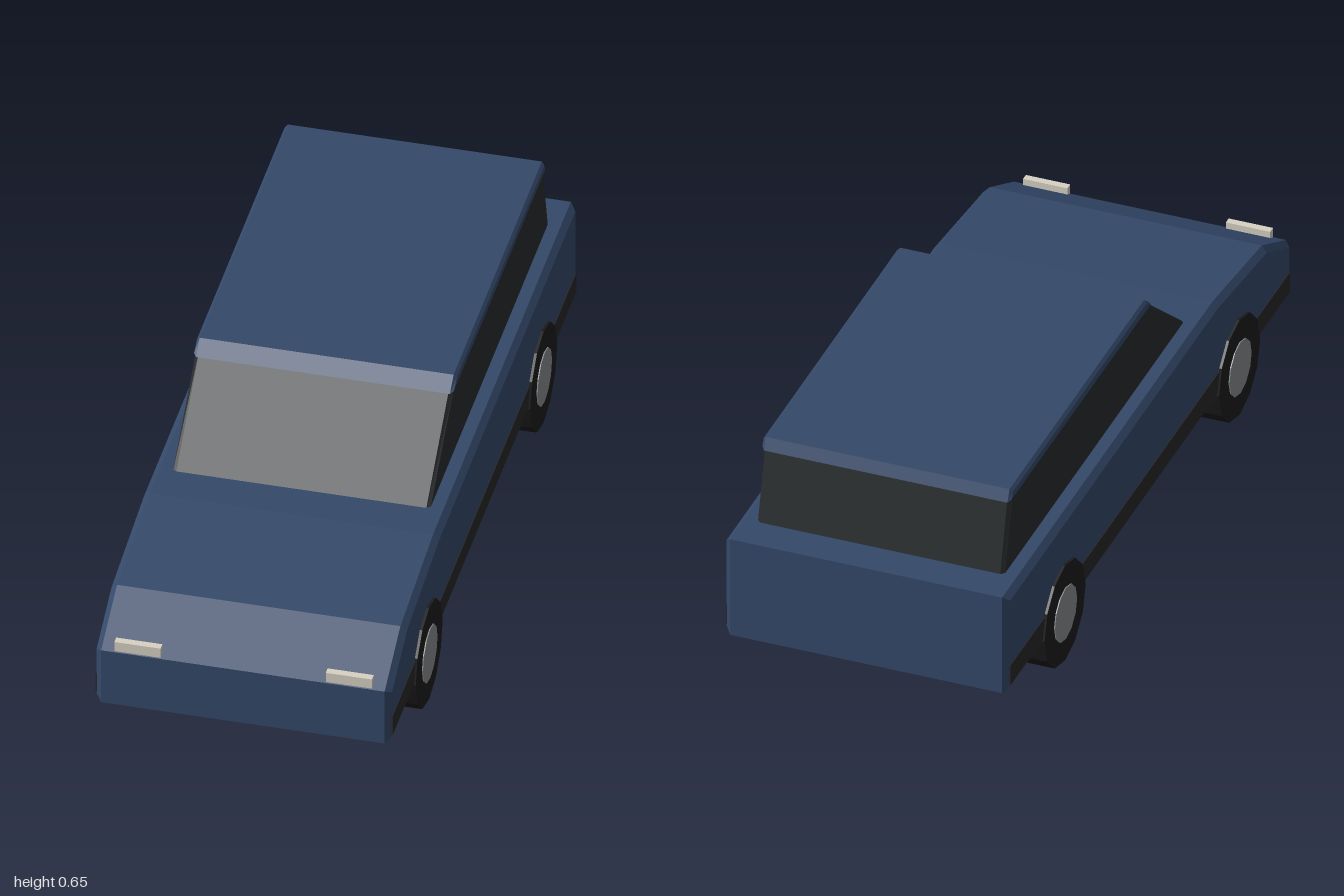
import * as THREE from 'three';

const material = (color) => new THREE.MeshStandardMaterial({ color, flatShading: true });
const paint = material(0x34496a);
const glass = material(0x282b2d);
const trim = material(0x2a2829);
const rubber = material(0x1c1c1c);
const metal = material(0x8a8d91);
const lamp = material(0xd8d2c4);

function addMesh(parent, name, geometry, mat, x = 0, y = 0, z = 0) {
  const mesh = new THREE.Mesh(geometry, mat);
  mesh.name = name;
  mesh.position.set(x, y, z);
  parent.add(mesh);
  return mesh;
}

// Side profile of [z, y] points, extruded across x with chamfered side edges
function sideExtrude(points, halfWidth, chamfer) {
  const shape = new THREE.Shape(points.map(([z, y]) => new THREE.Vector2(z, y)));
  const depth = 2 * (halfWidth - chamfer);
  const geometry = new THREE.ExtrudeGeometry(shape, {
    depth, bevelEnabled: true, bevelSegments: 1,
    bevelSize: chamfer, bevelThickness: chamfer, bevelOffset: -chamfer,
  });
  return geometry.translate(0, 0, -depth / 2).rotateY(-Math.PI / 2);
}

// Tyre with a hub that shows slightly on both faces
function makeWheel(name, x, z) {
  const wheel = new THREE.Group();
  wheel.name = name;
  wheel.position.set(x, 0.145, z);
  const disc = (radius, width) =>
    new THREE.CylinderGeometry(radius, radius, width, 12).rotateZ(Math.PI / 2);
  addMesh(wheel, 'tyre', disc(0.145, 0.098), rubber);
  addMesh(wheel, 'hub', disc(0.078, 0.104), metal);
  return wheel;
}

export function createModel() {
  const car = new THREE.Group();
  car.name = 'estateCar';

  // Lower body with sloping bonnet
  addMesh(car, 'body', sideExtrude([
    [-1, 0.13], [1, 0.13], [1, 0.295], [0.83, 0.382], [0.48, 0.423], [-1, 0.423],
  ], 0.39, 0.016), paint);

  // Glazed cabin
  addMesh(car, 'cabinGlass', sideExtrude([
    [-0.905, 0.4], [0.4, 0.4], [0.105, 0.645], [-0.845, 0.645],
  ], 0.34, 0.01), glass);

  // Roof panel, front and rear edges following the glass
  addMesh(car, 'roof', sideExtrude([
    [-0.862, 0.62], [0.14, 0.62], [0.1, 0.653], [-0.848, 0.653],
  ], 0.343, 0.008), paint);

  for (const [side, sign] of [['left', 1], ['right', -1]]) {
    // Dark sill strip
    addMesh(car, side + 'SillStrip', new THREE.BoxGeometry(0.01, 0.06, 1.97), trim,
      sign * 0.387, 0.18, 0);
    // Headlight
    addMesh(car, side + 'Headlight', new THREE.BoxGeometry(0.122, 0.029, 0.02), lamp,
      sign * 0.279, 0.311, 0.987);
    // Wheels
    car.add(makeWheel(side + 'FrontWheel', sign * 0.348, 0.615));
    car.add(makeWheel(side + 'RearWheel', sign * 0.348, -0.615));
  }
  return car;
}
